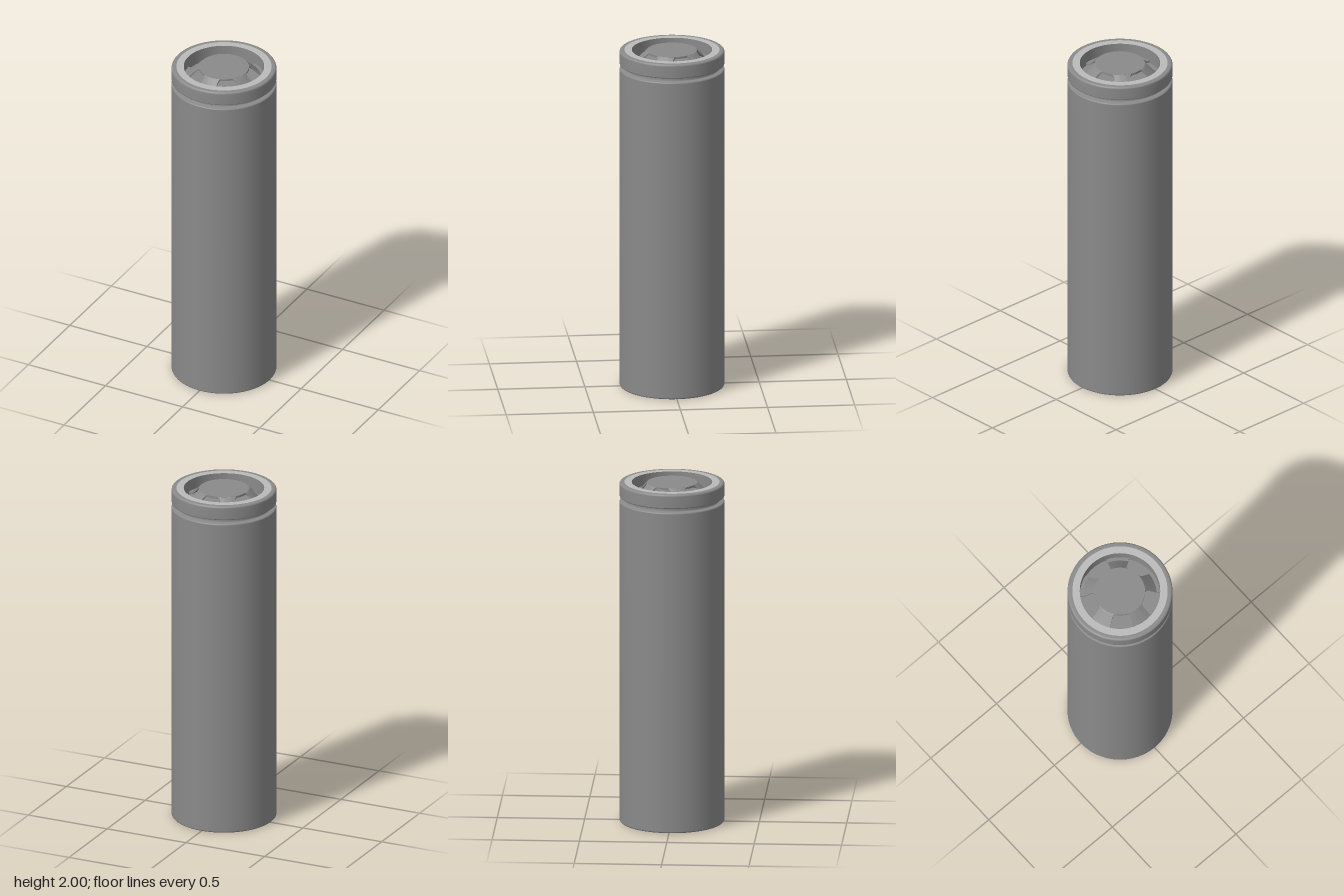
import * as THREE from 'three';
import { toCreasedNormals } from 'three/addons/utils/BufferGeometryUtils.js';

const rad = THREE.MathUtils.degToRad;

export function createModel() {
  const group = new THREE.Group();
  const darkGrey = new THREE.MeshStandardMaterial({ color: 0x8a8a8a });
  const lightGrey = new THREE.MeshStandardMaterial({ color: 0xbababa });

  const add = (name, geometry, material, parent = group) => {
    const mesh = new THREE.Mesh(geometry, material);
    mesh.name = name;
    parent.add(mesh);
    return mesh;
  };
  // A point given twice makes a sharp edge
  const lathe = (points) =>
    new THREE.LatheGeometry(points.map(([r, y]) => new THREE.Vector2(r, y)), 96);

  // Can: rounded foot, straight wall, crimp groove and rolled shoulder
  add('canBody', lathe([
    [0, 0], [0.29, 0], [0.2938, 0.0008], [0.2971, 0.0029], [0.2992, 0.0062], [0.3, 0.01],
    [0.3, 1.884], [0.2985, 1.889], [0.294, 1.892],
    [0.274, 1.893], [0.27, 1.897], [0.27, 1.912], [0.273, 1.916], [0.273, 1.916],
    [0.296, 1.917], [0.299, 1.919], [0.3, 1.923],
    [0.3, 1.988], [0.2991, 1.9926], [0.2965, 1.9965], [0.2926, 1.9991], [0.288, 2], [0.272, 2],
  ]), darkGrey);

  // Pale insulating ring, the inner wall and the recessed floor under the vents
  add('insulatingRing', lathe([[0.272, 2], [0.23, 2]]), lightGrey);
  add('recess', lathe([[0.23, 2], [0.23, 1.915], [0.23, 1.915], [0, 1.915]]), darkGrey);

  // Raised contact button
  const topY = 1.998, flangeY = 1.932, thickness = 0.012;
  const cap = new THREE.Group();
  cap.name = 'ventedCap';
  group.add(cap);
  const button = new THREE.CylinderGeometry(0.143, 0.143, thickness, 96);
  add('contactButton', button, darkGrey, cap).position.y = topY - thickness / 2;

  // Sloping leg with a flared root and a flat foot: [radius, half angle, height]
  const stations = [
    [0.142, 23, topY], [0.146, 20, topY - 0.003], [0.152, 17.9, topY - 0.009],
    [0.16, 16.6, topY - 0.017], [0.168, 16.3, topY - 0.025],
    [0.21, 16.3, flangeY], [0.23, 16.3, flangeY],
  ];
  const last = stations.length - 1;
  const leg = new THREE.BoxGeometry(2, 1, last, 12, 1, last);
  const p = leg.attributes.position;
  for (let i = 0; i < p.count; i++) {
    const [r, half, y] = stations[Math.round(p.getZ(i) + last / 2)];
    const a = rad(half) * p.getX(i);
    p.setXYZ(i, r * Math.sin(a), y + (p.getY(i) - 0.5) * thickness, r * Math.cos(a));
  }
  const legGeometry = toCreasedNormals(leg, rad(28));

  // Five legs, leaving five vent windows between them
  for (let i = 0; i < 5; i++) {
    add('capLeg' + (i + 1), legGeometry, darkGrey, cap).rotation.y = rad(-2 + 72 * i);
  }

  return group;
}
